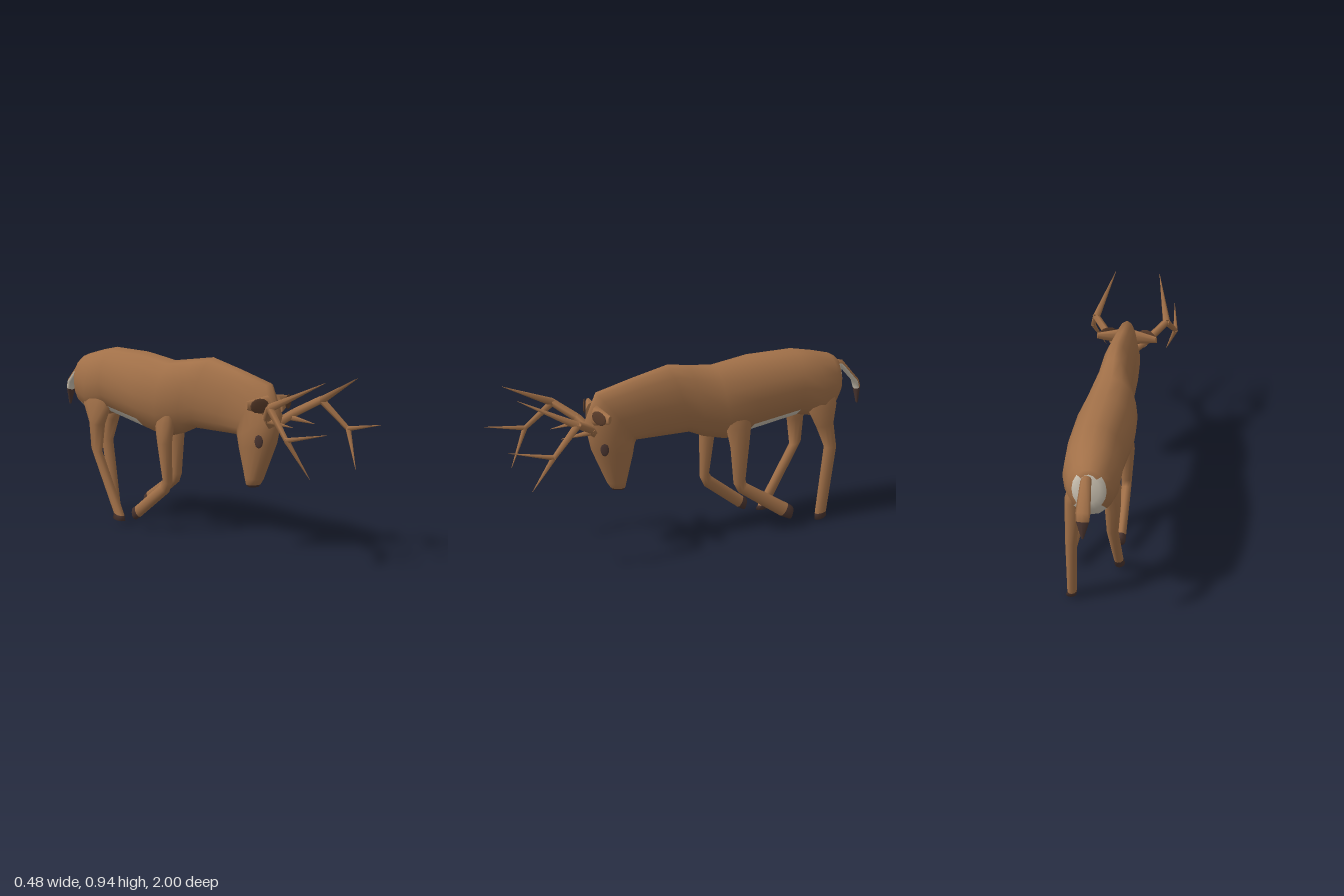
import * as THREE from 'three';

const mat = (name, color) => {
  const m = new THREE.MeshStandardMaterial({ color });
  m.name = name;
  return m;
};

export function createModel() {
  const root = new THREE.Group();
  const coat = mat('brown coat', 0xa17048);
  const pale = mat('pale fur', 0xc9c0b0);
  const dark = mat('dark hoof', 0x4a3530);
  const inner = mat('inner ear', 0x5a3c2a);
  const mats = [coat, pale, dark];

  const add = (name, geo, material, parent = root) => {
    const m = new THREE.Mesh(geo, material);
    m.name = name;
    parent.add(m);
    return m;
  };

  // Skin oval rings: [zFront, yFront, zBack, yBack, halfWidth, xCentre].
  // pick(band, side) gives the material index; caps are bands -1 and 'end'.
  function loft(name, rings, n, pick) {
    const pos = [], faces = [[], [], []];
    for (const [zt, yt, zb, yb, w, x = 0] of rings) {
      for (let j = 0; j < n; j++) {
        const a = (j / n) * Math.PI * 2, c = Math.cos(a), s = Math.sin(a);
        pos.push(x + w * s, (yt + yb) / 2 + ((yt - yb) / 2) * c, (zt + zb) / 2 + ((zt - zb) / 2) * c);
      }
    }
    const last = (rings.length - 1) * n, c0 = rings.length * n;
    for (const [zt, yt, zb, yb, , x = 0] of [rings[0], rings[rings.length - 1]])
      pos.push(x, (yt + yb) / 2, (zt + zb) / 2);
    for (let j = 0; j < n; j++) {
      const k = (j + 1) % n;
      faces[pick(-1, j)].push(c0, k, j);
      for (let i = 0; i < rings.length - 1; i++) {
        const a = i * n + j, b = i * n + k;
        faces[pick(i, j)].push(a, b, a + n, b, b + n, a + n);
      }
      faces[pick('end', j)].push(c0 + 1, last + j, last + k);
    }
    // Turn faces outward whichever way the rings run
    const P = (i) => new THREE.Vector3().fromArray(pos, i * 3);
    let vol = 0;
    const all = faces.flat();
    for (let i = 0; i < all.length; i += 3)
      vol += P(all[i]).dot(P(all[i + 1]).cross(P(all[i + 2])));
    const geo = new THREE.BufferGeometry();
    geo.setAttribute('position', new THREE.Float32BufferAttribute(pos, 3));
    const index = [];
    faces.forEach((f, m) => {
      geo.addGroup(index.length, f.length, m);
      for (let i = 0; i < f.length; i += 3)
        index.push(f[i], ...(vol > 0 ? [f[i + 1], f[i + 2]] : [f[i + 2], f[i + 1]]));
    });
    geo.setIndex(index);
    geo.computeVertexNormals();
    return add(name, geo, mats);
  }

  // Torso, neck and lowered head in one skin, rump to nose
  const N = 16;
  loft('bodyAndHead', [
    [-0.86, 0.85, -0.88, 0.70, 0.05, -0.01],
    [-0.845, 0.865, -0.865, 0.655, 0.08, -0.01],
    [-0.81, 0.885, -0.83, 0.60, 0.108, -0.01],
    [-0.70, 0.915, -0.75, 0.55, 0.135, 0],
    [-0.60, 0.935, -0.60, 0.58, 0.138, 0],
    [-0.36, 0.93, -0.33, 0.53, 0.145, -0.01],
    [-0.15, 0.90, -0.20, 0.50, 0.132, -0.01],
    [0.00, 0.92, -0.09, 0.53, 0.09, 0],
    [0.11, 0.935, -0.01, 0.565, 0.082, 0],
    [0.30, 0.89, 0.15, 0.565, 0.072, 0],
    [0.49, 0.84, 0.28, 0.565, 0.064, 0],
    [0.55, 0.69, 0.29, 0.55, 0.078, 0],
    [0.52, 0.55, 0.30, 0.50, 0.07, 0],
    [0.44, 0.36, 0.335, 0.36, 0.042, 0],
    [0.42, 0.33, 0.343, 0.325, 0.034, 0],
    [0.412, 0.318, 0.35, 0.31, 0.014, 0],
  ], N, (i, j) => {
    const low = Math.abs(j + 0.5 - N / 2); // distance from the underside line
    if (i === -1) return 1;
    if (i === 0) return low < 6 ? 1 : 0;
    if (i === 1 || i === 2) return low < 2 ? 1 : 0;
    if (i === 4) return low < 2 ? 1 : 0;
    return i === 'end' || i === 14 ? 2 : 0;
  });

  // Legs, top to hoof; the last band and sole are dark
  const legs = {
    leftFrontLeg: [
      [-0.17, 0.70, -0.31, 0.70, 0.02, 0.08], [-0.18, 0.58, -0.32, 0.58, 0.038, 0.085],
      [-0.20, 0.48, -0.305, 0.48, 0.037, 0.093], [-0.22, 0.28, -0.285, 0.30, 0.028, 0.095],
      [-0.245, 0.23, -0.29, 0.275, 0.027, 0.10], [-0.475, 0.073, -0.515, 0.138, 0.022, 0.138],
      [-0.525, 0.05, -0.54, 0.12, 0.022, 0.145]],
    rightFrontLeg: [
      [-0.10, 0.70, -0.24, 0.70, 0.02, -0.075], [-0.10, 0.58, -0.22, 0.58, 0.038, -0.08],
      [-0.11, 0.48, -0.19, 0.48, 0.037, -0.09], [-0.11, 0.27, -0.16, 0.29, 0.027, -0.085],
      [-0.135, 0.215, -0.175, 0.265, 0.026, -0.085], [-0.335, 0.06, -0.365, 0.118, 0.022, -0.09],
      [-0.37, 0.04, -0.385, 0.105, 0.022, -0.09]],
    leftHindLeg: [
      [-0.66, 0.74, -0.80, 0.74, 0.02, 0.075], [-0.65, 0.62, -0.82, 0.63, 0.043, 0.08],
      [-0.70, 0.52, -0.80, 0.54, 0.038, 0.085], [-0.75, 0.40, -0.82, 0.40, 0.028, 0.09],
      [-0.703, 0.032, -0.768, 0.042, 0.023, 0.10], [-0.70, 0.00, -0.765, 0.02, 0.026, 0.105]],
    rightHindLeg: [
      [-0.58, 0.74, -0.76, 0.74, 0.02, -0.08], [-0.57, 0.62, -0.77, 0.63, 0.043, -0.085],
      [-0.62, 0.52, -0.715, 0.53, 0.038, -0.09], [-0.64, 0.37, -0.705, 0.39, 0.028, -0.09],
      [-0.46, 0.045, -0.53, 0.06, 0.023, -0.095], [-0.45, 0.02, -0.53, 0.03, 0.026, -0.10]],
  };
  for (const [name, rings] of Object.entries(legs))
    loft(name, rings, 10, (i) => (i === 'end' || i === rings.length - 2 ? 2 : 0));

  // Tail: brown above, pale beneath, dark tip
  loft('tail', [
    [-0.83, 0.85, -0.83, 0.81, 0.02], [-0.89, 0.84, -0.87, 0.81, 0.025],
    [-0.985, 0.73, -0.96, 0.71, 0.034], [-1.0, 0.69, -0.97, 0.67, 0.03],
    [-0.997, 0.59, -0.985, 0.59, 0.006],
  ], 8, (i, j) => (i === 3 || i === 'end' ? 2 : j > 1 && j < 6 ? 1 : 0));

  // Tapered rod between two points
  function rod(name, from, to, r0, r1, parent, sides = 5) {
    const a = new THREE.Vector3(...from), b = new THREE.Vector3(...to);
    const d = b.clone().sub(a);
    const m = add(name, new THREE.CylinderGeometry(r1, r0, d.length(), sides), coat, parent);
    m.position.copy(a).add(b).multiplyScalar(0.5);
    m.quaternion.setFromUnitVectors(new THREE.Vector3(0, 1, 0), d.normalize());
    return m;
  }

  for (const s of [1, -1]) {
    const side = s > 0 ? 'left' : 'right';

    // Antler: beam, fork and tines
    const antler = new THREE.Group();
    antler.name = side + 'Antler';
    root.add(antler);
    const p = (x, y, z) => [s * x, y, z];
    const elbow = p(0.1, 0.69, 0.555), fork = p(0.19, 0.755, 0.65), node = p(0.228, 0.625, 0.785);
    rod('beamRoot', p(0.03, 0.645, 0.515), elbow, 0.024, 0.022, antler);
    rod('beam', elbow, fork, 0.022, 0.02, antler);
    rod('upperTine', fork, p(0.12, 0.89, 0.92), 0.021, 0.001, antler);
    rod('outerBeam', fork, node, 0.019, 0.012, antler);
    rod('forwardTine', node, p(0.2, 0.67, 1.0), 0.013, 0.001, antler);
    rod('lowerTine', node, p(0.17, 0.445, 0.88), 0.014, 0.001, antler);
    rod('browTine', p(0.085, 0.67, 0.54), p(0.08, 0.655, 0.7), 0.016, 0.001, antler);

    // Ear with a dark hollow facing forward and outward
    const ear = rod(side + 'Ear', p(0.035, 0.735, 0.505), p(0.157, 0.745, 0.475), 0.05, 0.02, root, 8);
    ear.scale.z = 0.5;
    const hollow = add(side + 'EarHollow', new THREE.SphereGeometry(1, 12, 6), inner);
    hollow.scale.set(0.05, 0.036, 0.005);
    hollow.position.set(s * 0.105, 0.742, 0.512);
    hollow.rotation.y = s * 0.4;

    // Eye
    const eye = add(side + 'Eye', new THREE.SphereGeometry(1, 12, 8), dark);
    eye.scale.set(0.005, 0.034, 0.021);
    eye.position.set(s * 0.062, 0.56, 0.47);
    eye.rotation.y = -s * 0.45;
  }
  return root;
}
